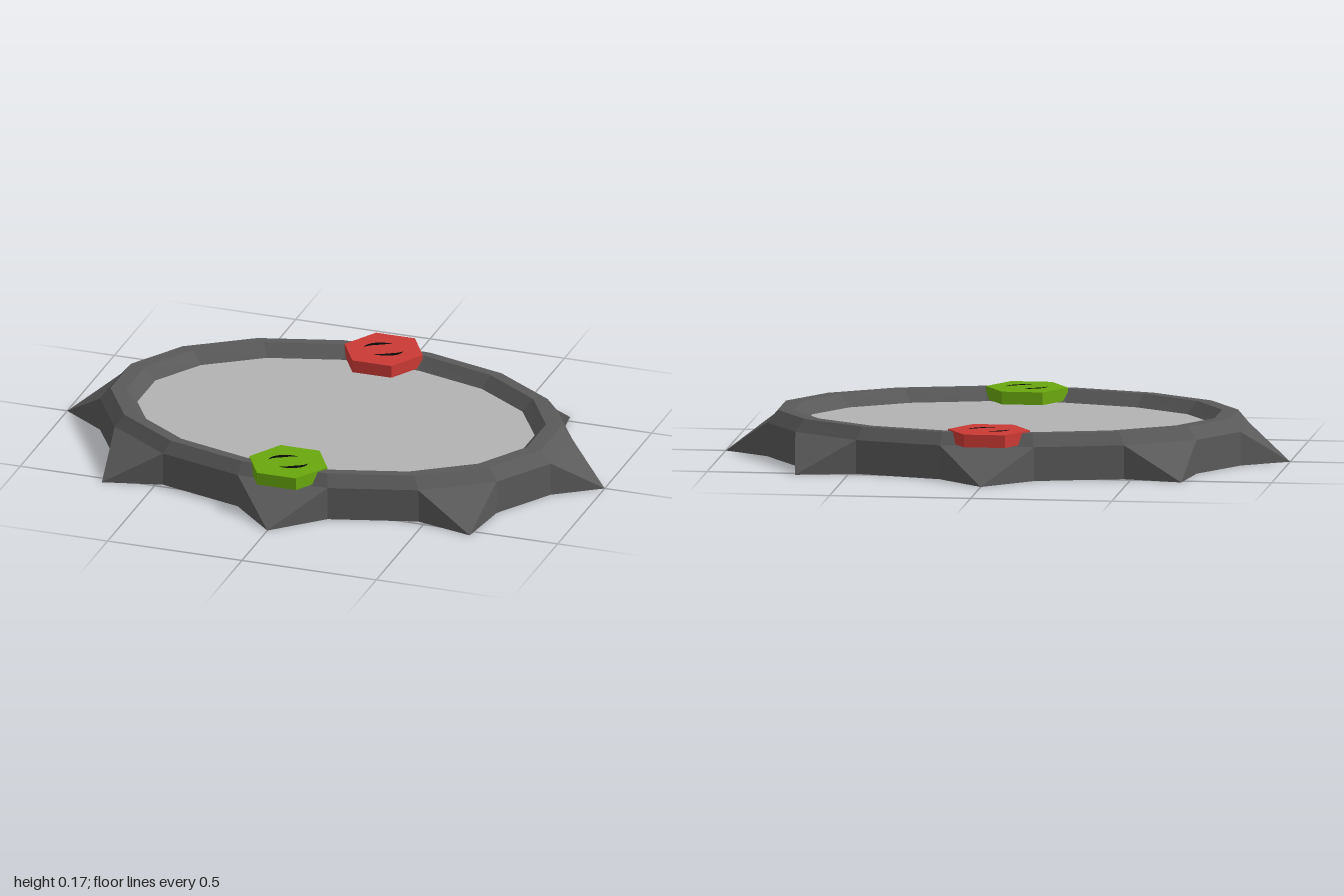
import * as THREE from 'three';

const mat = (name, color) => {
  const m = new THREE.MeshStandardMaterial({ color });
  m.name = name;
  return m;
};

const SIDES = 16;

// Point on an oval ring; corner i sits half a step off the axes
function ringPoint([a, b, y], i) {
  const t = ((i - 0.5) / SIDES) * Math.PI * 2;
  return [a * Math.cos(t), y, b * Math.sin(t)];
}

function facesToGeometry(tris) {
  const g = new THREE.BufferGeometry();
  g.setAttribute('position', new THREE.Float32BufferAttribute(tris.flat(2), 3));
  g.computeVertexNormals();
  return g;
}

// Oval wall, bevel, rim and inner wall, with a spike on every other side
function frameGeometry(rings) {
  const tris = [];
  for (let i = 0; i < SIDES; i++) {
    const isSpike = i % 2 === 0;
    for (let r = 0; r < rings.length - 1; r++) {
      if (isSpike && r === 0) continue;
      const p0 = ringPoint(rings[r], i), p1 = ringPoint(rings[r], i + 1);
      const q0 = ringPoint(rings[r + 1], i), q1 = ringPoint(rings[r + 1], i + 1);
      tris.push([p0, q0, q1], [p0, q1, p1]);
    }
    const p0 = ringPoint(rings[0], i), p1 = ringPoint(rings[0], i + 1);
    tris.push([[0, 0, 0], p0, p1]); // underside
    if (isSpike) {
      const t = (i / SIDES) * Math.PI * 2;
      const diagonal = i % 4 !== 0;
      const tip = [(diagonal ? 0.968 : 1) * Math.cos(t), 0, (diagonal ? 0.755 : 0.73) * Math.sin(t)];
      const q0 = ringPoint(rings[1], i), q1 = ringPoint(rings[1], i + 1);
      tris.push([tip, q0, q1], [p0, q0, tip], [p1, tip, q1], [p0, tip, p1]);
    }
  }
  return facesToGeometry(tris);
}

// Flat tapered crescent lying face up
function crescentGeometry() {
  const shape = new THREE.Shape();
  const steps = 10, start = 1.3, sweep = 1.95;
  const at = (k, inset) => {
    const t = start + (sweep * k) / steps;
    return new THREE.Vector2((0.072 - inset) * Math.cos(t), (0.054 - inset) * Math.sin(t));
  };
  const pts = [];
  for (let k = 0; k <= steps; k++) pts.push(at(k, 0));
  for (let k = steps - 1; k > 0; k--) pts.push(at(k, 0.02 * Math.sin((Math.PI * k) / steps)));
  shape.setFromPoints(pts);
  return new THREE.ShapeGeometry(shape).rotateX(-Math.PI / 2);
}

export function createModel() {
  const model = new THREE.Group();
  model.name = 'spikedPad';
  const frameMat = mat('darkGrey', 0x5a5a5a);
  const floorMat = mat('lightGrey', 0xb2b2b2);
  const greenMat = mat('green', 0x6aa80e);
  const redMat = mat('red', 0xcb3a34);
  const blackMat = mat('black', 0x080808);
  [frameMat, greenMat, redMat].forEach((m) => { m.flatShading = true; });

  const add = (parent, name, geometry, material) => {
    const mesh = new THREE.Mesh(geometry, material);
    mesh.name = name;
    parent.add(mesh);
    return mesh;
  };

  // Rings from the ground up and over the rim: half width, half depth, height
  const rings = [
    [0.855, 0.58, 0],
    [0.855, 0.58, 0.12],
    [0.817, 0.556, 0.165],
    [0.76, 0.524, 0.165],
    [0.72, 0.49, 0.12],
  ];
  add(model, 'spikedFrame', frameGeometry(rings), frameMat);

  // Recessed oval floor
  const floor = [];
  for (let i = 0; i < SIDES; i++) {
    floor.push([[0, 0.12, 0], ringPoint(rings[4], i + 1), ringPoint(rings[4], i)]);
  }
  add(model, 'floorPanel', facesToGeometry(floor), floorMat);

  // Six-sided buttons on the front and back of the rim
  const crescent = crescentGeometry();
  for (const [name, z, material] of [['frontButton', 0.507, greenMat], ['backButton', -0.507, redMat]]) {
    const button = new THREE.Group();
    button.name = name;
    button.position.set(0, 0.1475, z);
    const hex = new THREE.CylinderGeometry(0.145, 0.145, 0.045, 6).rotateY(Math.PI / 6);
    add(button, name + 'Body', hex, material);
    for (const turn of [0, Math.PI]) {
      const mark = add(button, 'crescentInlay', crescent, blackMat);
      mark.position.y = 0.0235;
      mark.rotation.y = turn;
    }
    model.add(button);
  }
  return model;
}
